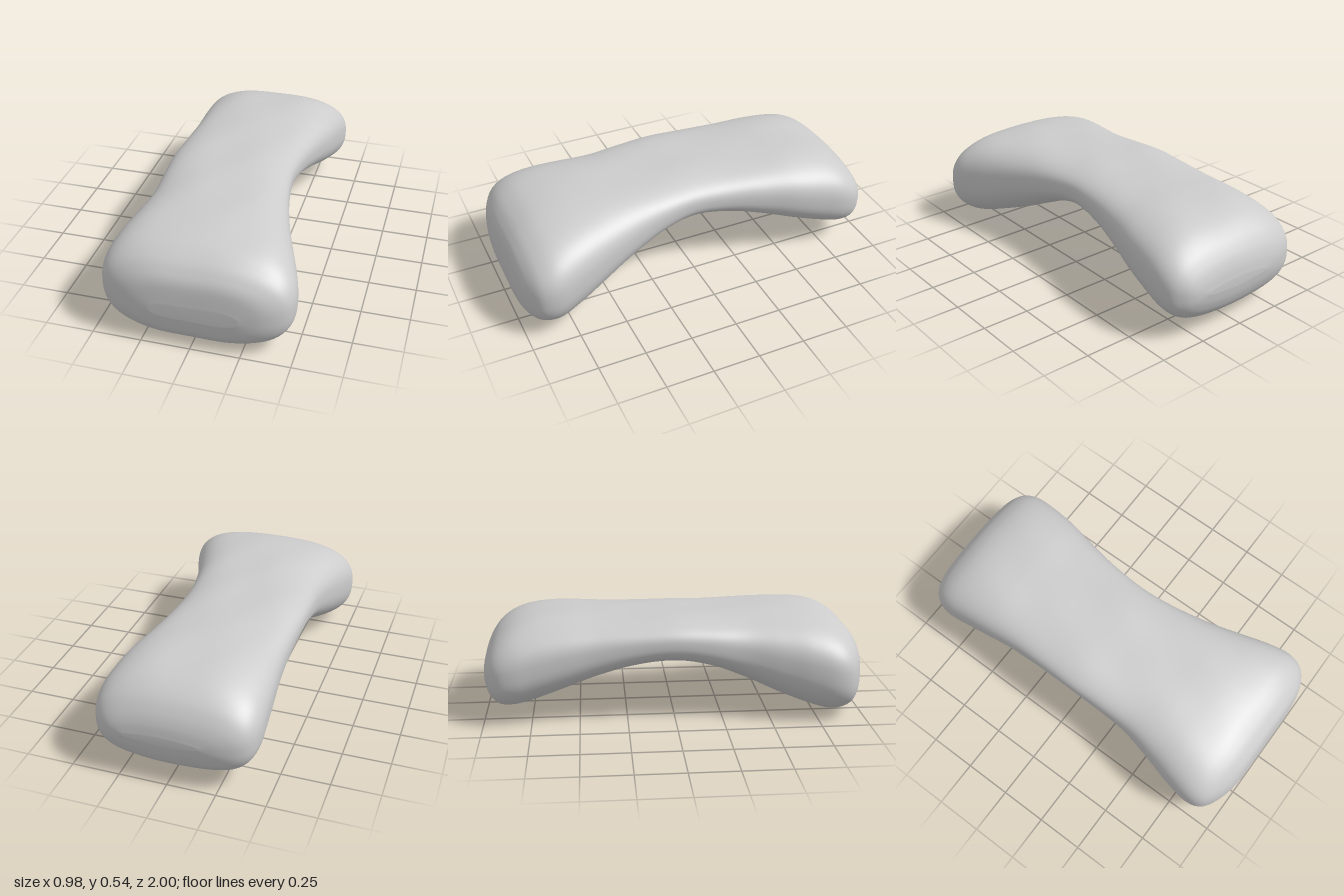
import * as THREE from 'three';

// Cross-sections from front to back: z, top y, bottom y, left-side x (+), right-side x (-)
const STATIONS = [
  [1.0, 0.25, 0.17, 0.24, -0.20],
  [0.985, 0.36, 0.085, 0.35, -0.31],
  [0.95, 0.42, 0.035, 0.43, -0.41],
  [0.9, 0.465, 0.01, 0.475, -0.47],
  [0.82, 0.505, 0.003, 0.487, -0.49],
  [0.7, 0.53, 0.04, 0.455, -0.475],
  [0.55, 0.54, 0.10, 0.40, -0.44],
  [0.37, 0.54, 0.185, 0.34, -0.405],
  [0.18, 0.54, 0.265, 0.295, -0.403],
  [0.0, 0.543, 0.30, 0.277, -0.405],
  [-0.2, 0.54, 0.275, 0.295, -0.40],
  [-0.4, 0.54, 0.215, 0.335, -0.40],
  [-0.57, 0.542, 0.15, 0.378, -0.412],
  [-0.72, 0.53, 0.095, 0.403, -0.422],
  [-0.83, 0.50, 0.065, 0.413, -0.425],
  [-0.91, 0.45, 0.068, 0.398, -0.405],
  [-0.96, 0.39, 0.11, 0.355, -0.355],
  [-0.988, 0.33, 0.17, 0.30, -0.27],
  [-1.0, 0.27, 0.23, 0.22, -0.16],
];

// Smooth interpolation of one column at a fractional station index
function sample(column, t) {
  const last = STATIONS.length - 1;
  const i = Math.min(Math.floor(t), last - 1), f = t - i;
  const at = (k) => STATIONS[THREE.MathUtils.clamp(k, 0, last)][column];
  const [a, b, c, d] = [at(i - 1), at(i), at(i + 1), at(i + 2)];
  return b + 0.5 * f * (c - a + f * (2 * a - 5 * b + 4 * c - d + f * (3 * (b - c) + d - a)));
}

const power = (v, e) => Math.sign(v) * Math.pow(Math.abs(v), e);

function loftGeometry(rings, sides) {
  const positions = [], indices = [];
  for (let i = 0; i < rings; i++) {
    const t = (i / (rings - 1)) * (STATIONS.length - 1);
    const [z, top, bottom, left, right] = [0, 1, 2, 3, 4].map((c) => sample(c, t));
    for (let j = 0; j < sides; j++) {
      // Rounded-rectangle section, flatter on top than at the sides
      const a = (j / sides) * Math.PI * 2;
      const u = power(Math.cos(a), 0.7), v = power(Math.sin(a), 0.78);
      const x = (left + right) / 2 + u * (left - right) / 2;
      const ripple = 0.003 * v * Math.sin(17 * x + 2 * z) * Math.cos(9 * z);
      positions.push(x, (top + bottom) / 2 + v * (top - bottom) / 2 + ripple, z);
    }
  }
  for (let i = 0; i < rings - 1; i++) {
    for (let j = 0; j < sides; j++) {
      const k = (j + 1) % sides;
      const a = i * sides + j, b = i * sides + k;
      indices.push(a, a + sides, b, b, a + sides, b + sides);
    }
  }
  // End caps
  const front = rings * sides, back = front + 1, lastRing = (rings - 1) * sides;
  positions.push(0.02, 0.21, 1.0, 0.03, 0.25, -1.0);
  for (let j = 0; j < sides; j++) {
    const k = (j + 1) % sides;
    indices.push(front, j, k, back, lastRing + k, lastRing + j);
  }
  const geometry = new THREE.BufferGeometry();
  geometry.setAttribute('position', new THREE.Float32BufferAttribute(positions, 3));
  geometry.setIndex(indices);
  geometry.computeVertexNormals();
  return geometry;
}

export function createModel() {
  const group = new THREE.Group();
  group.name = 'archedBlock';
  const material = new THREE.MeshStandardMaterial({ color: 0xcccccc });
  // One-piece arched body with two flared, rounded feet
  const body = new THREE.Mesh(loftGeometry(145, 80), material);
  body.name = 'body';
  group.add(body);
  return group;
}
